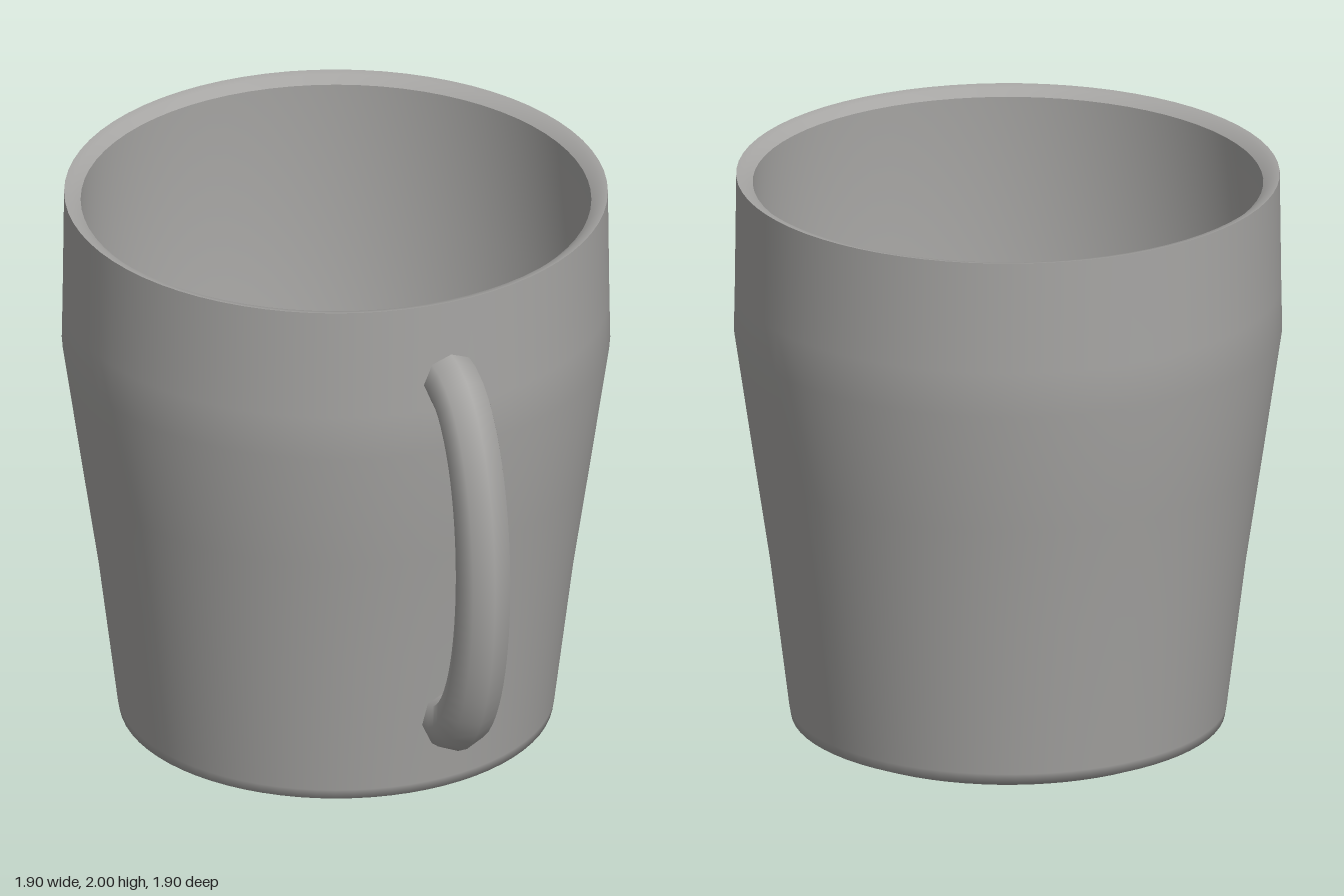
import * as THREE from 'three';

const ceramic = new THREE.MeshStandardMaterial({ color: 0xa6a5a3 });
ceramic.name = 'grey ceramic';

function addMesh(parent, name, geometry) {
  const mesh = new THREE.Mesh(geometry, ceramic);
  mesh.name = name;
  parent.add(mesh);
  return mesh;
}

// Turned surface from [radius, height] pairs
function turned(profile) {
  return new THREE.LatheGeometry(profile.map(([r, y]) => new THREE.Vector2(r, y)), 72);
}

export function createModel() {
  const mug = new THREE.Group();
  mug.name = 'mug';

  // Outside: flat base, small chamfer, flaring wall, straight upper band
  addMesh(mug, 'outerWall', turned([
    [0, 0], [0.64, 0], [0.68, 0.006], [0.748, 0.035], [0.754, 0.07],
    [0.82, 0.6], [0.88, 1.0], [0.945, 1.44], [0.942, 1.6], [0.937, 2],
  ]));

  // Inside: inward-sloping rim, wall and floor
  addMesh(mug, 'rim', turned([[0.937, 2], [0.91, 1.995], [0.88, 1.97]]));
  addMesh(mug, 'innerWall', turned([
    [0.88, 1.97], [0.89, 1.44], [0.82, 1.0], [0.765, 0.6],
    [0.71, 0.14], [0.66, 0.08], [0.58, 0.07], [0, 0.07],
  ]));

  // Handle: half-ellipse tube whose lower end stands clear of the wall
  const handle = new THREE.Group();
  handle.name = 'handle';
  handle.rotation.y = -Math.PI / 4;
  mug.add(handle);

  const radius = 0.1, sides = 8, path = [];
  for (let i = 0; i <= 16; i++) {
    const a = Math.PI * (0.5 - i / 16);
    path.push(new THREE.Vector3(0.92 + 0.283 * Math.cos(a), 1.043 + 0.66 * Math.sin(a), 0));
  }
  const curve = new THREE.CatmullRomCurve3(path);
  addMesh(handle, 'handleTube', new THREE.TubeGeometry(curve, 32, radius, sides, false));

  // Flat ends of the handle
  for (const end of [path[0], path[16]]) {
    const cap = addMesh(handle, 'handleEnd', new THREE.CircleGeometry(radius, sides));
    cap.position.copy(end);
    cap.rotation.y = -Math.PI / 2;
  }
  return mug;
}
